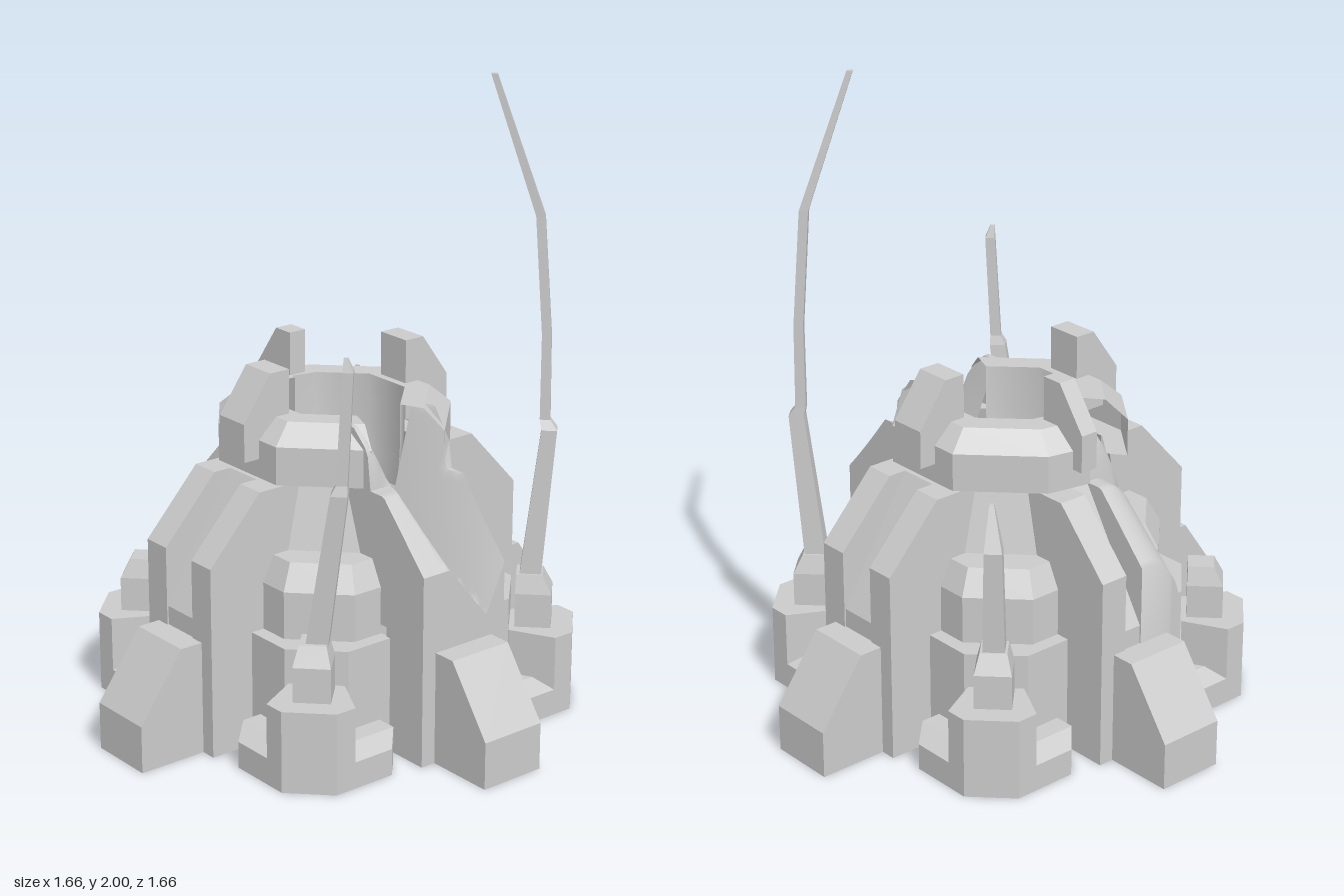
import * as THREE from 'three';
import { toCreasedNormals } from 'three/addons/utils/BufferGeometryUtils.js';
import { ConvexGeometry } from 'three/addons/geometries/ConvexGeometry.js';

const flat = new THREE.MeshStandardMaterial({ color: 0xcccccc, flatShading: true, side: THREE.DoubleSide });
const smooth = new THREE.MeshStandardMaterial({ color: 0xcccccc, side: THREE.DoubleSide });
const { lerp, clamp, degToRad, smoothstep } = THREE.MathUtils;
const DOWN = new THREE.Vector3(0, -1, 0);
const INWARD_X = new THREE.Vector3(-1, 0, 0);
const INWARD_Z = new THREE.Vector3(0, 0, 1);

function add(parent, name, geometry, material = flat) {
  const mesh = new THREE.Mesh(geometry, material);
  mesh.name = name;
  parent.add(mesh);
}

// Drops the faces that point along the given directions, leaving a hollow shell
function shell(geometry, ...dropped) {
  const p = geometry.attributes.position;
  const kept = [];
  const tri = new THREE.Triangle();
  const normal = new THREE.Vector3();
  for (let i = 0; i < p.count; i += 3) {
    tri.setFromAttributeAndIndices(p, i, i + 1, i + 2).getNormal(normal);
    if (dropped.some((d) => d.dot(normal) > 0.95)) continue;
    for (const v of [tri.a, tri.b, tri.c]) kept.push(v.x, v.y, v.z);
  }
  const g = new THREE.BufferGeometry();
  g.setAttribute('position', new THREE.Float32BufferAttribute(kept, 3));
  g.computeVertexNormals();
  return g;
}

function extrude(pts, depth) {
  const shape = new THREE.Shape(pts.map(([a, b]) => new THREE.Vector2(a, b)));
  return new THREE.ExtrudeGeometry(shape, { depth, bevelEnabled: false });
}

// Radial profile (r, y) given thickness from z0 to z1
const slab = (pts, z0, z1) => extrude(pts, z1 - z0).translate(0, 0, z0);

// Plan outline raised to a height (lies in the +x, -z quadrant), open below and inside
const block = (pts, height) => shell(extrude(pts, height).rotateX(-Math.PI / 2), DOWN, INWARD_X, INWARD_Z);

// Four-sided bar through sections [x, y, z, radius]
function bar(sections) {
  const n = sections.length - 1;
  const g = new THREE.CylinderGeometry(1, 1, 1, 4, n);
  const p = g.attributes.position;
  for (let i = 0; i < p.count; i++) {
    const [x, y, z, r] = sections[Math.round((p.getY(i) + 0.5) * n)];
    p.setXYZ(i, x + p.getX(i) * r, y, z + p.getZ(i) * r);
  }
  return g;
}

// Dome panels of one corner, stacked from levels [radius, chamfer start, y]
function domeCorner(levels) {
  const g = new THREE.PlaneGeometry(1, 1, 3, levels.length - 1);
  const p = g.attributes.position;
  levels.forEach(([r, c, y], j) => {
    [[0.15, r], [c, r], [r, c], [r, 0.15]].forEach(([x, z], i) => p.setXYZ(j * 4 + i, x, y, -z));
  });
  return g;
}

// Eight-sided lathe arc in degrees; profile radii are measured across flats
function arc(profile, start, length, sides) {
  const k = 1 / Math.cos(Math.PI / 8);
  return new THREE.LatheGeometry(profile.map(([r, y]) => new THREE.Vector2(r * k, y)),
    sides, degToRad(start), degToRad(length));
}

// Outline of an intact buttress and crown at radius r
function topHeight(r) {
  if (r < 0.28) return 0.99;
  if (r < 0.345) return lerp(0.99, 0.93, (r - 0.28) / 0.065);
  if (r < 0.36) return lerp(0.93, 0.81, (r - 0.345) / 0.015);
  return r < 0.42 ? 0.81 : lerp(0.81, 0.61, (r - 0.42) / 0.185);
}

// Damaged buttress: height(u, z, top) gives the torn surface from the crown (u = 0) outwards
function gouge(side, z0, z1, crease, height) {
  const nu = 32, nv = 42;
  const g = new THREE.PlaneGeometry(1, 1, nu, nv);
  const p = g.attributes.position;
  for (let j = 0; j <= nv; j++) for (let i = 0; i <= nu; i++) {
    const u = Math.min(i / (nu - 1), 1);
    const r = lerp(0.205, 0.605, u);
    const z = lerp(z0, z1, clamp((j - 1) / (nv - 2), 0, 1));
    const skirt = i === nu || j === 0 || j === nv;
    const y = skirt ? (r < 0.44 ? 0.4 : 0) : height(u, z, topHeight(r));
    p.setXYZ(j * (nu + 1) + i, side * r, y, z);
  }
  return toCreasedNormals(g, crease);
}

export function createModel() {
  const model = new THREE.Group();
  model.name = 'ruinedBunker';

  // Upper cone, crown ring and its lining, broken open on both sides
  const cone = [[0.335, 0.6], [0.285, 0.81]];
  const crown = [[0.285, 0.81], [0.345, 0.81], [0.345, 0.93], [0.28, 0.99], [0.205, 0.99]];
  const lining = [[0.205, 0.99], [0.205, 0.85], [0.2, 0.75], [0.19, 0.66]];
  for (const [start, length, sides] of [[112.5, 135, 3], [247.5, 22.5, 1], [292.5, 135, 3]]) {
    add(model, 'cone', arc(cone, start, length, sides));
    add(model, 'lining', arc(lining, start, length, sides), smooth);
  }
  for (const [start, length, sides] of [[112.5, 135, 3], [247.5, 22.5, 1], [307.5, 30, 1], [337.5, 90, 2]])
    add(model, 'crown', arc(crown, start, length, sides));

  // Bowl inside the crown
  add(model, 'innerBowl', new THREE.LatheGeometry(
    [[0.001, 0.52], [0.1, 0.54], [0.17, 0.59], [0.225, 0.67]].map(([r, y]) => new THREE.Vector2(r, y)), 32), smooth);

  // Buttresses: 0 = left, 1 = back, 2 = right, 3 = front
  const rib = [[0.6, 0], [0.605, 0], [0.605, 0.61], [0.42, 0.81], [0.36, 0.81], [0.6, 0.42]];
  const panel = [[0.44, 0], [0.6, 0], [0.6, 0.42], [0.36, 0.81], [0.27, 0.81]];
  const foot = [[0.6, 0], [0.83, 0], [0.83, 0.15], [0.68, 0.36], [0.6, 0.36]];
  const merlon = [[0.23, 0.87], [0.4, 0.87], [0.4, 0.99], [0.3, 1.13], [0.23, 1.13]];
  for (let k = 0; k < 4; k++) {
    const buttress = new THREE.Group();
    buttress.name = 'buttress' + k;
    buttress.rotation.y = k * Math.PI / 2;
    model.add(buttress);
    add(buttress, 'foot', shell(slab(foot, -0.11, 0.11), DOWN, INWARD_X));
    if (k === 0) continue;
    const broken = k === 2;
    add(buttress, 'rib', shell(slab(rib, 0.065, 0.16), DOWN, INWARD_X));
    if (!broken) add(buttress, 'rib', shell(slab(rib, -0.16, -0.065), DOWN, INWARD_X));
    add(buttress, 'core', shell(slab(panel, broken ? 0 : -0.16, 0.16), DOWN, INWARD_X));
    add(buttress, 'merlon', slab(merlon, broken ? 0 : -0.06, 0.06));
  }

  // Torn buttresses: a V-shaped gash and a rounded-off half
  add(model, 'leftGouge', gouge(1, -0.16, 0.16, 0.7, (u, z, top) => {
    const d = z - lerp(-0.04, -0.09, u);
    const slope = d > 0 ? lerp(2.3, 1.2, u) : lerp(4, 2.2, u);
    return Math.min(top, lerp(0.62, 0.43, u) + Math.abs(d) * slope);
  }), smooth);
  add(model, 'rightGouge', gouge(-1, 0, 0.16, 1.1, (u, z, top) => {
    const s = clamp((z - 0.02) / 0.14, 0, 1);
    return lerp(top, lerp(0.66, 0.43, u), 1 - Math.sqrt(1 - s * s * smoothstep(s, -0.5, 0.6)));
  }), smooth);

  // Corner towers with the dome panels behind them
  const plinth = [
    [[0.2, 0.2], [0.585, 0.26], [0.585, 0.47], [0.47, 0.585], [0.26, 0.585], [0.52, 0.2], [0.2, 0.52]],
    [[0.2, 0.2], [0.52, 0.2], [0.52, 0.44], [0.44, 0.52], [0.2, 0.52]],
  ];
  const plinthPoints = [[0, 0], [0, 0.085], [1, 0.115]].flatMap(([ring, y]) =>
    plinth[ring].map(([x, z]) => new THREE.Vector3(x, y, -z)));
  const shoulder = [[0.155, 0.155], [0.455, 0.155], [0.455, 0.32], [0.32, 0.455], [0.155, 0.455]];
  const tower = [[0.33, 0.33], [0.45, 0.33], [0.585, 0.4], [0.585, 0.47], [0.47, 0.585], [0.4, 0.585], [0.33, 0.45]];
  for (let k = 0; k < 4; k++) {
    const corner = new THREE.Group();
    corner.name = 'cornerTower' + k;
    corner.rotation.y = k * Math.PI / 2;
    model.add(corner);
    add(corner, 'domePanels', domeCorner([[0.31, 0.13, 0.6], [0.37, 0.24, 0.6], [0.41, 0.26, 0.52], [0.41, 0.26, 0.37]]));
    add(corner, 'plinth', shell(new ConvexGeometry(plinthPoints), DOWN));
    add(corner, 'shoulder', block(shoulder, 0.37));
    add(corner, 'tower', block(tower, 0.26));
    add(corner, 'mastSocket', bar([[0.44, 0.25, -0.44, 0.08], [0.44, 0.37, -0.44, 0.08], [0.43, 0.43, -0.43, 0.058]]));
  }

  // Masts: tall, snapped and stump
  add(model, 'tallMast', bar([[0.43, 0.4, -0.43, 0.048], [0.465, 0.9, -0.465, 0.034], [0.45, 0.93, -0.46, 0.023],
    [0.448, 1.2, -0.46, 0.021], [0.43, 1.57, -0.44, 0.02], [0.338, 2, -0.325, 0.013]]));
  add(model, 'snappedMast', bar([[0.43, 0.4, 0.42, 0.048], [0.505, 0.9, 0.395, 0.036], [0.51, 0.93, 0.39, 0.024],
    [0.525, 1.27, 0.38, 0.022], [0.52, 1.31, 0.385, 0.008]]));
  add(model, 'stumpMast', bar([[-0.43, 0.4, -0.43, 0.048], [-0.45, 0.76, -0.45, 0.038], [-0.42, 0.89, -0.43, 0.01]]));

  return model;
}
